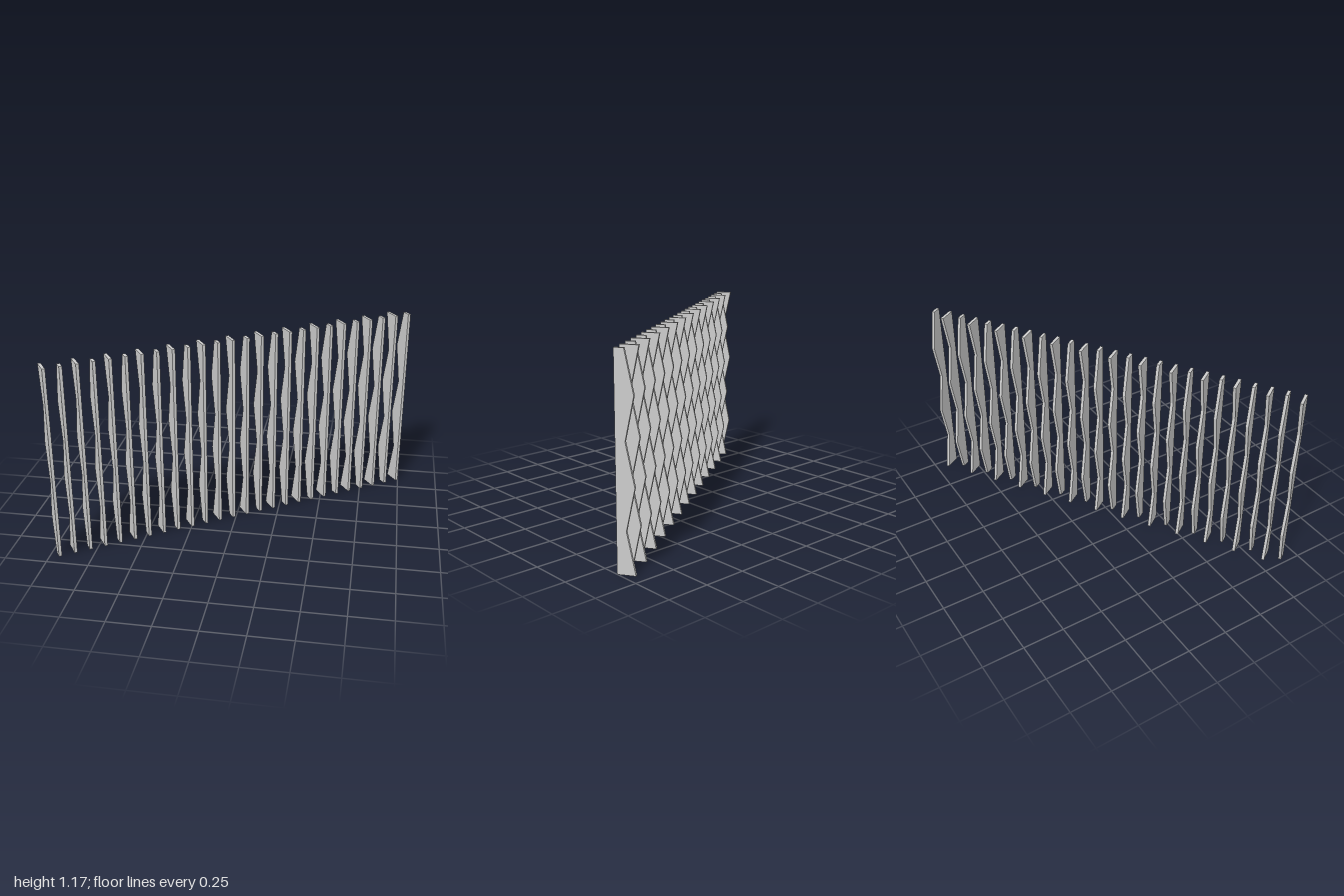
import * as THREE from 'three';

const COUNT = 26, SPACING = 0.0926, THICKNESS = 0.018;
const HEIGHT = 1.17, DEPTH = 0.1, NOTCH = 0.048, STEPS = 5;

// Upright fin: straight front edge, zigzag back edge starting narrow or wide at the foot
function finGeometry(wideAtFoot) {
  const shape = new THREE.Shape();
  shape.moveTo(DEPTH / 2, 0);
  shape.lineTo(DEPTH / 2, HEIGHT);
  for (let k = STEPS; k >= 0; k--) {
    const wide = (k % 2 === 0) === wideAtFoot;
    shape.lineTo(-DEPTH / 2 + (wide ? 0 : NOTCH), (HEIGHT * k) / STEPS);
  }
  shape.closePath();
  const geometry = new THREE.ExtrudeGeometry(shape, { depth: THICKNESS, bevelEnabled: false });
  return geometry.translate(0, 0, -THICKNESS / 2);
}

export function createModel() {
  const model = new THREE.Group();
  model.name = 'finScreen';
  const material = new THREE.MeshStandardMaterial({ color: 0xcccccc, flatShading: true });
  const geometries = [finGeometry(false), finGeometry(true)];

  // Row of parallel fins, the two zigzags alternating
  const row = new THREE.Group();
  row.name = 'finRow';
  for (let i = 0; i < COUNT; i++) {
    const fin = new THREE.Mesh(geometries[i % 2], material);
    fin.name = `fin${i + 1}`;
    fin.position.z = ((COUNT - 1) / 2 - i) * SPACING;
    row.add(fin);
  }

  // The row runs diagonally across the footprint
  row.rotation.y = THREE.MathUtils.degToRad(-56.5);
  model.add(row);
  return model;
}
